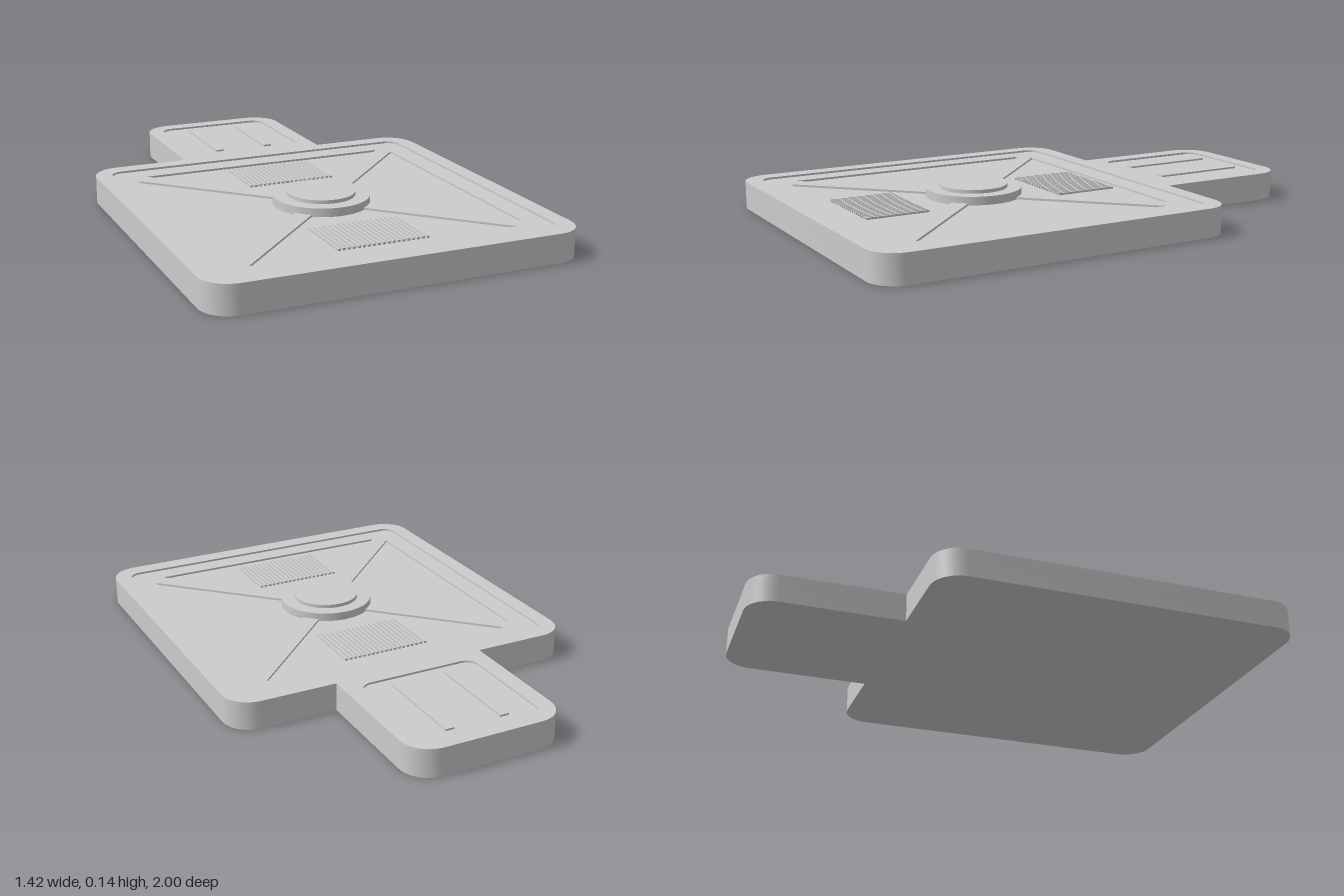
import * as THREE from 'three';
import { toCreasedNormals } from 'three/addons/utils/BufferGeometryUtils.js';

const grey = new THREE.MeshStandardMaterial({ color: 0xcccccc });
grey.name = 'plain grey';

// Heights of the triangular pockets, the recessed deck and the outer rim
const POCKET = 0.094, DECK = 0.102, RIM = 0.11;
const MID = 0.29; // z of the hub

// Adds a rounded polygon to a path; points are [x, z, radius]
function roundedPath(path, points) {
  const n = points.length;
  points.forEach(([x, z, r], i) => {
    const toward = ([px, pz]) => {
      const d = Math.hypot(px - x, pz - z);
      return [x + (px - x) * r / d, -(z + (pz - z) * r / d)];
    };
    const a = toward(points[(i + n - 1) % n]);
    const b = toward(points[(i + 1) % n]);
    if (i === 0) path.moveTo(...a); else path.lineTo(...a);
    if (r > 0) {
      const k = 0.552;
      path.bezierCurveTo(
        a[0] + (x - a[0]) * k, a[1] + (-z - a[1]) * k,
        b[0] + (x - b[0]) * k, b[1] + (-z - b[1]) * k, ...b);
    }
  });
  path.closePath();
  return path;
}

const rect = (w, z0, z1, r) => [[-w, z1, r], [w, z1, r], [w, z0, r], [-w, z0, r]];

const outline = [
  [-0.71, 1, 0.11], [0.71, 1, 0.11], [0.71, -0.42, 0.11], [0.305, -0.42, 0],
  [0.305, -1, 0.11], [-0.305, -1, 0.11], [-0.305, -0.42, 0], [-0.71, -0.42, 0.11],
];

export function createModel() {
  const group = new THREE.Group();

  const add = (name, geometry, x = 0, y = 0, z = 0) => {
    const mesh = new THREE.Mesh(geometry, grey);
    mesh.name = name;
    mesh.position.set(x, y, z);
    group.add(mesh);
  };

  // One level of the slab, with openings cut through it
  const layer = (name, y0, y1, openings) => {
    const shape = roundedPath(new THREE.Shape(), outline);
    shape.holes = openings.map((p) => roundedPath(new THREE.Path(), p));
    const geometry = new THREE.ExtrudeGeometry(shape, {
      depth: y1 - y0, bevelEnabled: false, curveSegments: 10,
    });
    geometry.rotateX(-Math.PI / 2);
    add(name, toCreasedNormals(geometry, 0.6), 0, y0, 0);
  };

  // Four pockets leave a frame and a diagonal cross between them
  const pockets = [];
  for (const s of [-1, 1]) {
    pockets.push([[-0.515, MID + s * 0.56, 0], [0.515, MID + s * 0.56, 0], [0, MID + s * 0.045, 0]]);
    pockets.push([[s * 0.565, MID - 0.515, 0], [s * 0.565, MID + 0.515, 0], [s * 0.05, MID, 0]]);
  }

  layer('baseSlab', 0, POCKET, []);
  layer('crossBracedDeck', POCKET, DECK, pockets);
  layer('raisedRim', DECK, RIM, [
    rect(0.645, -0.355, 0.93, 0.05),
    rect(0.24, -0.94, -0.47, 0.05),
  ]);

  // Stepped round hub
  add('hubBase', new THREE.CylinderGeometry(0.185, 0.185, 0.127 - POCKET, 48), 0, (0.127 + POCKET) / 2, MID);
  add('hubCap', new THREE.CylinderGeometry(0.13, 0.13, 0.014, 48), 0, 0.134, MID);

  // Slatted vents in front of and behind the hub
  const slat = new THREE.BoxGeometry(0.011, 0.008, 0.25);
  for (const [name, z] of [['rearVentSlat', -0.115], ['frontVentSlat', 0.69]]) {
    for (let i = -9; i <= 9; i++) add(name, slat, i * 0.019, POCKET + 0.004, z);
  }

  // Ribs running along the tail panel
  const rib = new THREE.BoxGeometry(0.035, 0.007, 0.38);
  for (const x of [-0.11, 0.11]) add('tailRib', rib, x, DECK + 0.0035, -0.705);

  return group;
}
